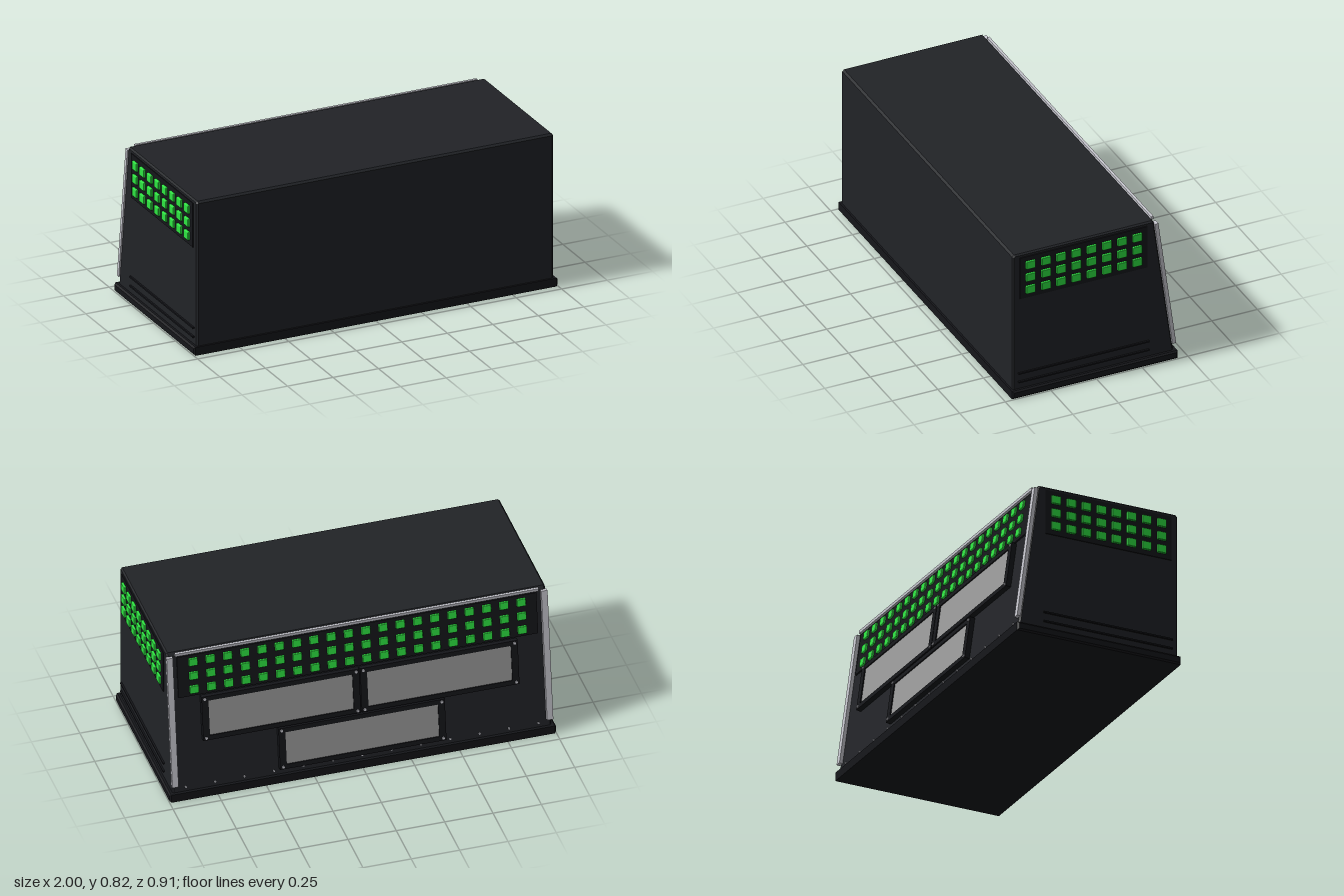
import * as THREE from 'three';
import { RoundedBoxGeometry } from 'three/addons/geometries/RoundedBoxGeometry.js';

const mat = (color) => new THREE.MeshStandardMaterial({ color });
const shell = mat(0x212327);
const dark = mat(0x15161a);
const green = mat(0x2ee642);
const metal = mat(0xc8c8d0);
const glass = mat(0x9c9c9c);

function add(parent, name, geometry, material, x = 0, y = 0, z = 0) {
  const mesh = new THREE.Mesh(geometry, material);
  mesh.name = name;
  mesh.position.set(x, y, z);
  parent.add(mesh);
  return mesh;
}

const box = (w, h, d) => new THREE.BoxGeometry(w, h, d);

// Side profile of [z, y] points, extruded across x with chamfered ends
function crossExtrude(points, width, bevel) {
  const shape = new THREE.Shape(points.map(([z, y]) => new THREE.Vector2(-z, y)));
  const geometry = new THREE.ExtrudeGeometry(shape, {
    depth: width - 2 * bevel, bevelEnabled: true, bevelSegments: 1,
    bevelSize: bevel, bevelThickness: bevel, bevelOffset: -bevel,
  });
  geometry.translate(0, 0, -width / 2 + bevel);
  return geometry.rotateY(Math.PI / 2);
}

// Grid of lit buttons on a dark backing plate, lying in the local xy plane
function buttonPanel(name, columns, pitchX, pitchY, w, h, plateW, plateH) {
  const group = new THREE.Group();
  group.name = name;
  add(group, 'buttonPlate', box(plateW, plateH, 0.012), dark);
  const button = new RoundedBoxGeometry(w, h, 0.024, 2, 0.004);
  for (let r = -1; r <= 1; r++) {
    for (let c = 0; c < columns; c++) {
      add(group, 'button', button, green, (c - (columns - 1) / 2) * pitchX, r * pitchY, 0.006);
    }
  }
  return group;
}

// Framed window with a screw in each corner
function framedWindow(name, w, h) {
  const group = new THREE.Group();
  group.name = name;
  const rect = (Type, a, b) => new Type([[-a, -b], [a, -b], [a, b], [-a, b]]
    .map(([x, y]) => new THREE.Vector2(x / 2, y / 2)));
  const outline = rect(THREE.Shape, w, h);
  outline.holes.push(rect(THREE.Path, w - 0.07, h - 0.05));
  add(group, 'windowFrame', new THREE.ExtrudeGeometry(outline, { depth: 0.026, bevelEnabled: false }), dark);
  add(group, 'windowPane', box(w - 0.065, h - 0.045, 0.02), glass, 0, 0, 0.01);
  const screw = new THREE.CylinderGeometry(0.007, 0.008, 0.005, 10).rotateX(Math.PI / 2);
  for (const sx of [-1, 1]) for (const sy of [-1, 1]) {
    add(group, 'frameScrew', screw, metal, sx * (w / 2 - 0.016), sy * (h / 2 - 0.013), 0.028);
  }
  return group;
}

export function createModel() {
  const model = new THREE.Group();
  model.name = 'console';

  // Cabinet and base plinth
  add(model, 'cabinet', crossExtrude([
    [0.45, 0.03], [-0.432, 0.03], [-0.327, 0.805], [-0.317, 0.82], [0.44, 0.82], [0.45, 0.81],
  ], 1.96, 0.008), shell);
  add(model, 'basePlinth', crossExtrude([
    [0.46, 0], [-0.446, 0], [-0.446, 0.045], [0.46, 0.045],
  ], 2, 0.008), dark);

  // Side button panels and the two ribs below them
  for (const side of [-1, 1]) {
    const panel = buttonPanel('sideButtonPanel', 8, 0.0835, 0.071, 0.05, 0.044, 0.697, 0.237);
    panel.position.set(side * 0.979, 0.682, 0.064);
    panel.rotation.y = side * Math.PI / 2;
    model.add(panel);
    for (const y of [0.084, 0.133]) {
      add(model, 'sideRib', box(0.02, 0.008, 0.715), dark, side * 0.979, y, 0.0625);
    }
  }

  // Sloping back: local z points out of the face
  const back = new THREE.Group();
  back.name = 'backFace';
  const lean = Math.atan2(0.105, 0.775);
  back.position.set(0, 0.03, -0.432);
  back.rotation.set(-lean, Math.PI, 0, 'YXZ');
  model.add(back);
  const up = (y) => (y - 0.03) / Math.cos(lean);

  const backButtons = buttonPanel('backButtonPanel', 20, 0.0893, 0.077, 0.046, 0.042, 1.86, 0.228);
  backButtons.position.set(0, up(0.681), 0.002);
  back.add(backButtons);

  // Two upper windows and one lower window
  for (const [x, y, w, h] of [[-0.41, 0.438, 0.815, 0.245], [0.41, 0.438, 0.815, 0.245], [0, 0.194, 0.86, 0.23]]) {
    const pane = framedWindow('window', w, h);
    pane.position.set(x, up(y), 0);
    back.add(pane);
  }

  // Metal trims on the corners and along the top edge
  for (const side of [-1, 1]) {
    add(back, 'cornerTrim', box(0.032, 0.725, 0.02), metal, side * 0.969, up(0.442), 0.008);
  }
  add(model, 'topTrim', box(1.88, 0.016, 0.014), metal, 0, 0.812, -0.334);

  // Row of screws along the bottom edge
  const screw = new THREE.CylinderGeometry(0.005, 0.006, 0.008, 8).rotateX(Math.PI / 2);
  for (let i = -6; i <= 6; i++) add(back, 'edgeScrew', screw, metal, i * 0.152, up(0.068), 0.002);

  return model;
}
